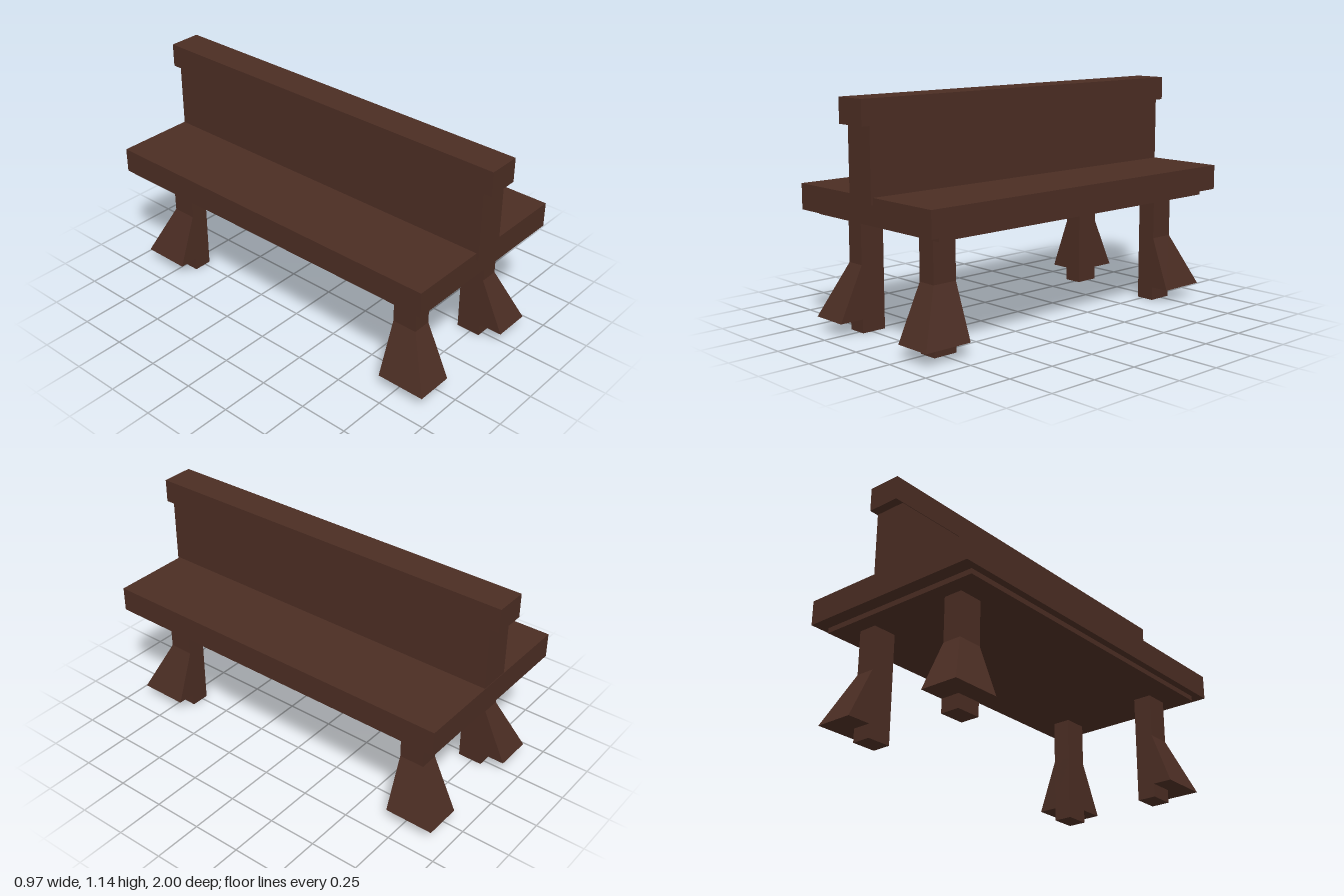
import * as THREE from 'three';

export function createModel() {
  const bench = new THREE.Group();
  bench.name = 'bench';
  const wood = new THREE.MeshStandardMaterial({ color: 0x4b2d23 });
  wood.name = 'dark brown wood';

  // Box given by its lower and upper corners
  function block(name, [x0, y0, z0], [x1, y1, z1], parent = bench) {
    const geometry = new THREE.BoxGeometry(x1 - x0, y1 - y0, z1 - z0);
    geometry.translate((x0 + x1) / 2, (y0 + y1) / 2, (z0 + z1) / 2);
    const mesh = new THREE.Mesh(geometry, wood);
    mesh.name = name;
    parent.add(mesh);
    return mesh;
  }

  // Seat, its inset underside and the central double-sided backrest
  block('seat', [-0.486, 0.582, -0.956], [0.484, 0.708, 0.946]);
  block('seatUnderside', [-0.449, 0.556, -0.885], [0.446, 0.59, 0.876]);
  block('backrest', [-0.082, 0.675, -0.954], [0.079, 1.03, 0.956]);
  block('topRail', [-0.085, 1.025, -1], [0.082, 1.145, 1]);

  // Legs: a square post with a foot flaring towards the outer corner
  const W = 0.097, D = 0.128, FLARE_X = 0.098, FLARE_Z = 0.125;
  for (const sx of [-1, 1]) {
    for (const sz of [-1, 1]) {
      const leg = new THREE.Group();
      leg.name = (sz > 0 ? 'front' : 'back') + (sx > 0 ? 'Left' : 'Right') + 'Leg';
      leg.position.set(sx * 0.267, 0, sz * 0.738);
      block('post', [-W / 2, 0, -D / 2], [W / 2, 0.57, D / 2], leg);

      const foot = block('flaredFoot', [-W / 2, 0.068, -D / 2], [W / 2, 0.332, D / 2], leg);
      const p = foot.geometry.attributes.position;
      for (let i = 0; i < p.count; i++) {
        if (p.getY(i) > 0.2) continue;
        if (p.getX(i) * sx > 0) p.setX(i, p.getX(i) + sx * FLARE_X);
        if (p.getZ(i) * sz > 0) p.setZ(i, p.getZ(i) + sz * FLARE_Z);
      }
      foot.geometry = foot.geometry.toNonIndexed();
      foot.geometry.computeVertexNormals();
      bench.add(leg);
    }
  }
  return bench;
}
